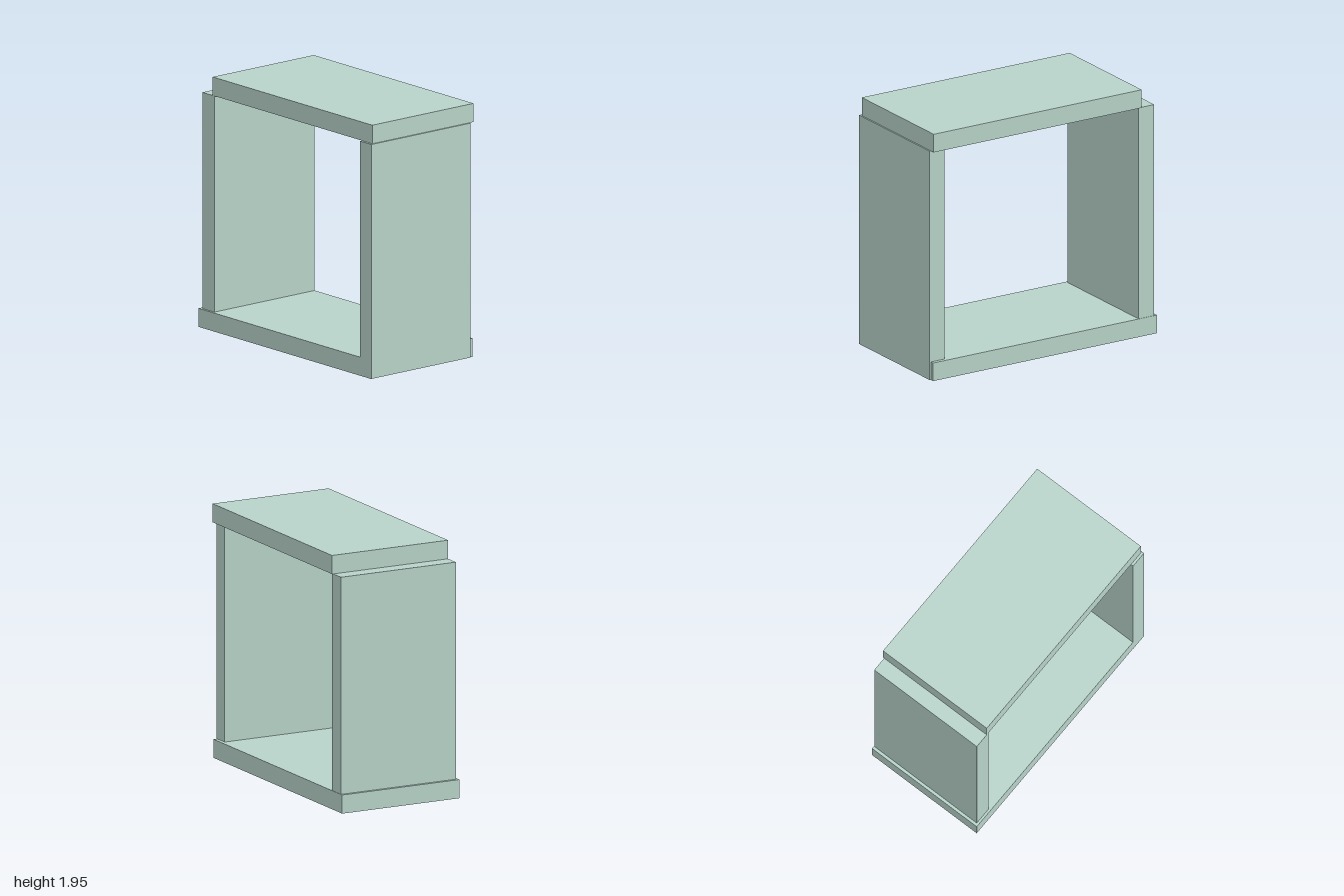
import * as THREE from 'three';

export function createModel() {
  const group = new THREE.Group();
  const material = new THREE.MeshStandardMaterial({ color: 0xb8d3c9 });

  // Each board is given by its extents along x, y and z
  const board = (name, [x0, x1], [y0, y1], [z0, z1]) => {
    const mesh = new THREE.Mesh(new THREE.BoxGeometry(x1 - x0, y1 - y0, z1 - z0), material);
    mesh.position.set((x0 + x1) / 2, (y0 + y1) / 2, (z0 + z1) / 2);
    mesh.name = name;
    group.add(mesh);
  };

  // Four slightly offset boards form an open frame
  board('bottomBoard', [-0.503, 0.495], [0, 0.143], [-1, 0.988]);
  board('frontPanel', [-0.505, 0.465], [0.002, 1.81], [0.87, 1]);
  board('backPanel', [-0.485, 0.492], [0.143, 1.81], [-0.977, -0.838]);
  board('topBoard', [-0.485, 0.503], [1.81, 1.953], [-0.858, 0.988]);

  return group;
}
